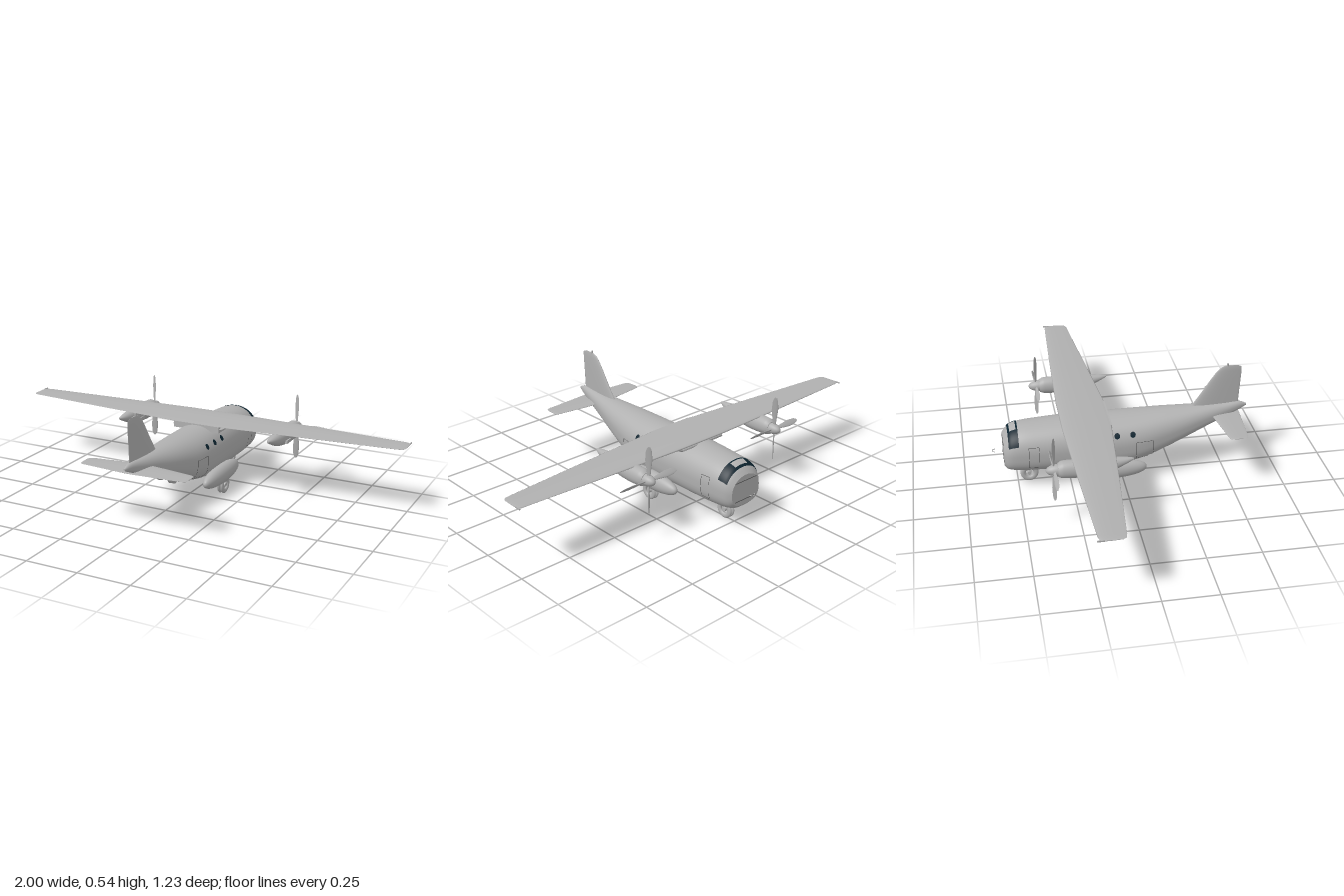
import * as THREE from 'three';

const flat = (name, color, side = THREE.FrontSide) => {
  const m = new THREE.MeshStandardMaterial({ color, side });
  m.name = name;
  return m;
};

// Smooth interpolation of station rows [s, a, b, c...] at position s
function sample(rows, s) {
  let i = 0;
  while (i < rows.length - 2 && s > rows[i + 1][0]) i++;
  const p = rows[i], q = rows[i + 1], h = q[0] - p[0];
  const u = THREE.MathUtils.clamp((s - p[0]) / h, 0, 1);
  const before = rows[Math.max(0, i - 1)], after = rows[Math.min(rows.length - 1, i + 2)];
  return p.map((_, k) => {
    const m0 = (q[k] - before[k]) / (q[0] - before[0]) * h, m1 = (after[k] - p[k]) / (after[0] - p[0]) * h;
    const u2 = u * u, u3 = u2 * u;
    return (2 * u3 - 3 * u2 + 1) * p[k] + (u3 - 2 * u2 + u) * m0 + (3 * u2 - 2 * u3) * q[k] + (u3 - u2) * m1;
  });
}

// Surface from rows of points; optional closed rings with end caps
function grid(rows, closed = false) {
  const pos = [], idx = [], n = rows[0].length;
  rows.forEach(r => r.forEach(p => pos.push(...p)));
  for (let i = 0; i < rows.length - 1; i++)
    for (let j = 0; j < (closed ? n : n - 1); j++) {
      const k = (j + 1) % n, a = i * n + j, b = i * n + k;
      idx.push(a, b, a + n, b, b + n, a + n);
    }
  if (closed) [[rows[0], true], [rows[rows.length - 1], false]].forEach(([ring, start]) => {
    const base = pos.length / 3;
    ring.forEach(p => pos.push(...p));
    pos.push(...[0, 1, 2].map(k => ring.reduce((t, p) => t + p[k], 0) / n));
    for (let j = 0; j < n; j++) {
      const a = base + j, b = base + (j + 1) % n;
      idx.push(base + n, start ? b : a, start ? a : b);
    }
  });
  const g = new THREE.BufferGeometry();
  g.setAttribute('position', new THREE.Float32BufferAttribute(pos, 3));
  g.setIndex(idx);
  g.computeVertexNormals();
  return g;
}

const range = (n, a, b) => Array.from({ length: n + 1 }, (_, i) => a + (b - a) * i / n);
const pw = (v, e) => Math.sign(v) * Math.abs(v) ** e;

// Body cross-section point: rounded top, squarer bottom
const bodyPoint = (rows, z, t, lowN, off = 0) => {
  const [, top, bot, hw] = sample(rows, z), mid = bot + (top - bot) * 0.48;
  const s = Math.sin(t), e = 2 / (s > 0 ? 2.1 : lowN);
  return [(hw + off) * pw(Math.cos(t), e), mid + ((s > 0 ? top - mid : mid - bot) + off) * pw(s, e), z];
};
const body = (rows, lowN, n = 60) => grid(range(n, rows[0][0], rows[rows.length - 1][0])
  .map(z => range(47, 0, Math.PI * 2 * 47 / 48).map(t => bodyPoint(rows, z, t, lowN))), true);

// Wing-like solid along x from rows [x, zLead, zTrail, y, halfThickness]
function foil(rows) {
  const g = grid(rows.map(([x, lead, trail, y, h]) => range(23, 0, Math.PI * 2 * 23 / 24).map(t =>
    [-(lead + trail) / 2 + (trail - lead) / 2 * Math.cos(t), y + h * Math.sin(t) * (0.68 + 0.4 * Math.cos(t)), x])), true);
  return g.rotateY(Math.PI / 2);
}

// Fuselage stations: z, top, bottom, half width
const HULL = [
  [-0.563, 0.262, 0.117, 0.085], [-0.553, 0.276, 0.105, 0.096], [-0.53, 0.299, 0.098, 0.108],
  [-0.48, 0.313, 0.093, 0.116], [-0.4, 0.32, 0.09, 0.121], [-0.25, 0.327, 0.09, 0.125],
  [0, 0.328, 0.092, 0.125], [0.1, 0.329, 0.108, 0.118], [0.2, 0.331, 0.143, 0.101],
  [0.3, 0.332, 0.183, 0.08], [0.4, 0.334, 0.224, 0.056], [0.5, 0.335, 0.263, 0.033],
  [0.58, 0.335, 0.297, 0.015], [0.612, 0.322, 0.312, 0.004]];
const POD = [
  [-0.347, 0.323, 0.262, 0.029], [-0.33, 0.333, 0.255, 0.036], [-0.25, 0.335, 0.25, 0.037],
  [-0.17, 0.335, 0.256, 0.034], [-0.1, 0.332, 0.272, 0.028], [-0.04, 0.326, 0.297, 0.016], [-0.008, 0.321, 0.313, 0.004]];

// Point on the fuselage flank at a given z and height
function flank(side, z, y) {
  const [, top, bot, hw] = sample(HULL, z), mid = bot + (top - bot) * 0.48;
  const n = y > mid ? 2.1 : 3, k = Math.abs(y - mid) / (y > mid ? top - mid : mid - bot);
  return [side * (hw * (1 - k ** n) ** (1 / n) + 0.0015), y, z];
}

export function createModel() {
  const model = new THREE.Group();
  model.name = 'transportAircraft';
  const grey = flat('bodyGrey', 0xb0b0b0);
  const glass = flat('darkGlass', 0x0c2430, THREE.DoubleSide);
  const seam = flat('seamGrey', 0x505050, THREE.DoubleSide);
  const add = (name, geo, mat = grey, parent = model) => {
    const m = new THREE.Mesh(geo, mat);
    m.name = name;
    parent.add(m);
    return m;
  };
  const box = (w, h, d, x, y, z) => new THREE.BoxGeometry(w, h, d).translate(x, y, z);

  add('fuselage', body(HULL, 3, 90));

  // Cockpit glazing wrapped over the nose, with a central roof panel
  const wrap = (z0, z1, t0, t1, off) => grid(range(8, z0, z1).map(z =>
    range(40, t0, t1).map(t => bodyPoint(HULL, z, t, 3, off))));
  add('cockpitGlass', wrap(-0.541, -0.494, 0.42, Math.PI - 0.42, 0.002), glass);
  add('cockpitRoofPanel', wrap(-0.532, -0.502, 1.25, Math.PI - 1.25, 0.0035));

  // Wing, root fairing and tip lights
  const half = [[0.13, -0.294, -0.064, 0.332, 0.014], [0.55, -0.277, -0.1, 0.332, 0.01],
    [0.965, -0.257, -0.138, 0.332, 0.006], [0.988, -0.252, -0.143, 0.332, 0.005], [0.998, -0.238, -0.158, 0.332, 0.002]];
  const mirror = half.map(([x, ...r]) => [-x, ...r]).reverse();
  add('wing', foil([...mirror, ...half]));
  add('wingFairing', foil([[-0.132, -0.27, -0.08, 0.318, 0.01], [-0.122, -0.29, -0.06, 0.319, 0.022],
    [0.122, -0.29, -0.06, 0.319, 0.022], [0.132, -0.27, -0.08, 0.318, 0.01]]));
  add('fairingTail', box(0.24, 0.03, 0.08, 0, 0.318, -0.1));

  // Tailplane and fin
  const tail = [[0.02, 0.436, 0.575, 0.286, 0.007], [0.245, 0.467, 0.558, 0.286, 0.005],
    [0.26, 0.473, 0.552, 0.286, 0.004], [0.265, 0.485, 0.54, 0.286, 0.002]];
  add('tailplane', foil([...tail.map(([x, ...r]) => [-x, ...r]).reverse(), ...tail]));
  add('fin', foil([[0.31, 0.33, 0.572, 0, 0.013], [0.34, 0.348, 0.572, 0, 0.013], [0.4, 0.39, 0.575, 0, 0.012],
    [0.465, 0.432, 0.579, 0, 0.01], [0.505, 0.461, 0.581, 0, 0.008], [0.523, 0.479, 0.58, 0, 0.006],
    [0.532, 0.5, 0.56, 0, 0.003]]).rotateZ(Math.PI / 2));
  add('finBeacon', new THREE.CylinderGeometry(0.004, 0.005, 0.016, 12).translate(0, 0.535, 0.512));

  // Propeller blade, reused for all eight
  const blade = foil([[0.015, -0.006, 0.006, 0, 0.004], [0.05, -0.01, 0.01, 0, 0.004], [0.1, -0.016, 0.016, 0, 0.003],
    [0.14, -0.013, 0.013, 0, 0.002], [0.155, -0.008, 0.008, 0, 0.0015], [0.161, -0.002, 0.002, 0, 0.001]]).rotateX(0.95);

  // Twin-wheel leg: tyres, hubs, axle and strut
  const leg = (name, x, z, topY) => {
    const g = new THREE.Group();
    g.name = name;
    g.position.set(x, 0.043, z);
    for (const s of [-1, 1]) {
      add('tyre', new THREE.TorusGeometry(0.031, 0.012, 14, 36).rotateY(Math.PI / 2).scale(0.6, 1, 1).translate(s * 0.009, 0, 0), grey, g);
      add('hub', new THREE.CylinderGeometry(0.01, 0.01, 0.012, 20).rotateZ(Math.PI / 2).translate(s * 0.009, 0, 0), grey, g);
    }
    add('strut', new THREE.CylinderGeometry(0.006, 0.006, topY - 0.043, 14).translate(0, (topY - 0.043) / 2, 0), grey, g);
    model.add(g);
  };
  leg('noseGear', 0, -0.445, 0.11);

  for (const side of [-1, 1]) {
    const label = side > 0 ? 'left' : 'right';
    const pod = new THREE.Group();
    pod.name = label + 'Engine';
    pod.position.x = side * 0.396;
    model.add(pod);
    add('nacelle', body(POD, 2.1, 40), grey, pod);
    add('spinner', new THREE.SphereGeometry(1, 24, 16).scale(0.027, 0.027, 0.056).translate(0, 0.293, -0.345), grey, pod);
    for (const s of [-1, 1]) add('exhaust', box(0.012, 0.016, 0.045, s * 0.034, 0.281, -0.17), grey, pod);
    for (let k = 0; k < 4; k++) {
      const b = add('propellerBlade', blade, grey, pod);
      b.position.set(0, 0.293, -0.364);
      b.rotation.z = k * Math.PI / 2;
    }

    // Landing gear sponson
    const profile = range(28, -Math.PI / 2, Math.PI / 2).map(a => new THREE.Vector2(Math.cos(a) ** 0.9, pw(Math.sin(a), 0.95)));
    add(label + 'Sponson', new THREE.LatheGeometry(profile, 36).rotateX(Math.PI / 2)
      .scale(0.038, 0.047, 0.178).translate(side * 0.129, 0.098, -0.074));
    leg(label + 'MainGear', side * 0.137, -0.081, 0.08);
    add(label + 'TipLight', box(0.004, 0.006, 0.03, side * 0.996, 0.332, -0.248));

    // Round cabin windows
    for (const z of [0.04, -0.035, -0.11])
      add(label + 'CabinWindow', grid(range(4, 0, 0.013).map(r => range(24, 0, Math.PI * 2).map(a =>
        flank(side, z + r * Math.cos(a), 0.265 + r * Math.sin(a))))), glass);

    // Door outlines
    const strip = (z0, z1, y0, y1) => add(label + 'DoorSeam', grid(range(10, z0, z1).map(z =>
      range(10, y0, y1).map(y => flank(side, z, y)))), seam);
    for (const [z0, z1, y0, y1] of [[0.056, 0.14, 0.132, 0.226], [-0.45, -0.402, 0.135, 0.242]]) {
      for (const z of [z0, z1]) strip(z - 0.001, z + 0.001, y0, y1);
      for (const y of [y0, y1]) strip(z0, z1, y - 0.001, y + 0.001);
    }
  }

  // Nose panel seams and the small air-data vane ahead of the nose
  for (const y of [0.142, 0.235]) add('noseSeam', box(0.13, 0.0025, 0.002, 0, y, -0.5635), seam);
  add('noseVane', new THREE.TorusGeometry(0.013, 0.002, 8, 16, Math.PI).rotateX(-Math.PI / 2).translate(0, 0.178, -0.602));
  return model;
}
